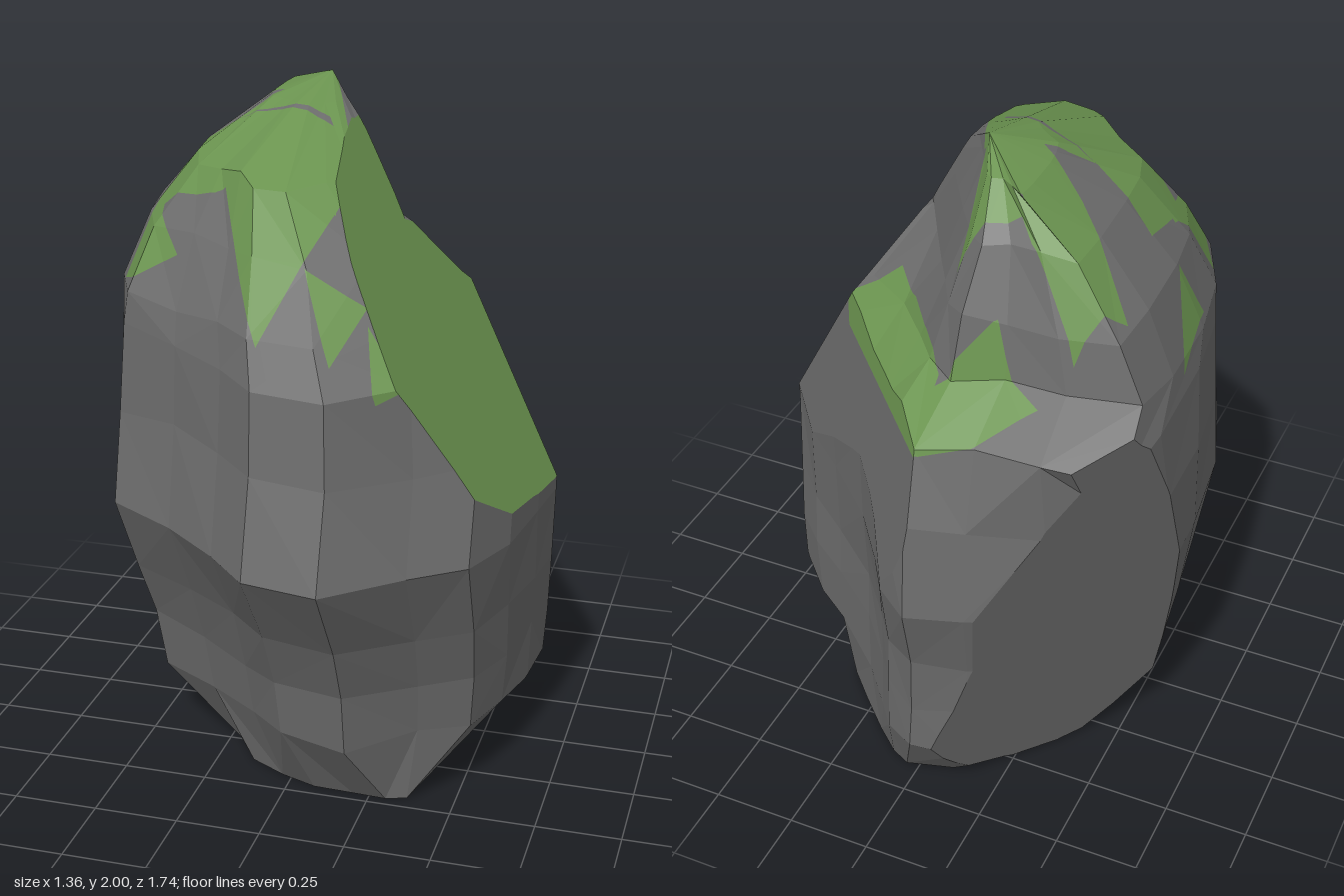
import * as THREE from 'three';

// Plan outline of the boulder at its widest, as x, z pairs, counterclockwise from above
const outline = [
  [0.68, -0.06], [0.55, -0.22], [0.4, -0.35], [0.22, -0.52], [0.1, -0.68], [0.03, -0.79],
  [-0.08, -0.87], [-0.24, -0.82], [-0.44, -0.74], [-0.66, -0.58], [-0.68, -0.42],
  [-0.67, -0.15], [-0.63, 0.14], [-0.54, 0.4], [-0.33, 0.54], [-0.15, 0.69],
  [-0.02, 0.83], [0.2, 0.87], [0.4, 0.69], [0.55, 0.58], [0.62, 0.38], [0.66, 0.13],
];

// Outline of the flat underside, matching point for point
const footprint = [
  [0.368, -0.05], [0.368, -0.2], [0.365, -0.36], [0.28, -0.45], [0.18, -0.55], [0.1, -0.62],
  [0.04, -0.65], [-0.1, -0.61], [-0.22, -0.5], [-0.34, -0.37], [-0.38, -0.3],
  [-0.38, -0.1], [-0.29, 0.12], [-0.22, 0.24], [-0.14, 0.36], [-0.03, 0.42],
  [0.08, 0.46], [0.2, 0.465], [0.3, 0.47], [0.36, 0.45], [0.368, 0.3], [0.368, 0.1],
];

// Cross-section extents above the base: y, min x, max x, min z, max z
const levels = [
  [0.22, -0.59, 0.65, -0.79, 0.61],
  [0.4, -0.62, 0.665, -0.79, 0.64],
  [0.58, -0.65, 0.68, -0.8, 0.72],
  [0.82, -0.685, 0.69, -0.87, 0.87],
  [1.1, -0.68, 0.69, -0.84, 0.79],
  [1.34, -0.66, 0.66, -0.77, 0.755],
  [1.45, -0.635, 0.57, -0.59, 0.68],
  [1.62, -0.56, 0.44, -0.55, 0.54],
  [1.8, -0.41, 0.2, -0.47, 0.39],
  [1.94, -0.23, 0.02, -0.36, -0.02],
];
const apex = new THREE.Vector3(-0.06, 2, -0.24);
const core = new THREE.Vector3(0, 0.8, 0);

// Steep back right wall above the ledge, for the top four levels: normal x, normal z, offset
const wall = [
  [0.68, -0.73, 0.375], [0.865, -0.5, 0.2], [0.865, -0.5, 0.145], [0.865, -0.5, 0.085],
];

// Broad upper shoulder at the back left: outline index to depth factor
const shoulder = { 8: 1.12, 9: 1.35, 10: 1.25 };

// Flat broken faces: outward normal, offset, mossy or not
const cuts = [
  [[1.65, 1, 0.1], 1.98, true],
  [[0.65, -0.76, 0], 0.24, false],
  [[-0.78, -0.25, -0.62], 0.5, false],
  [[0.739, 0.2, -0.674], 0.72, false],
];

// Convex moss patches: as x, z corners seen from above
const topMoss = [
  [[-0.36, -0.6], [-0.22, -0.72], [-0.07, -0.77], [-0.06, -0.6], [-0.21, -0.52]],
  [[-0.3, -0.38], [-0.06, -0.45], [-0.06, -0.25]],
  [[-0.07, -0.77], [0.04, -0.68], [0.27, -0.46], [0.39, -0.24], [0.22, -0.22], [-0.06, -0.57]],
  [[-0.43, -0.53], [-0.27, -0.44], [-0.05, -0.25], [-0.04, 0], [-0.33, -0.25], [-0.57, -0.4]],
  [[-0.48, -0.13], [-0.3, -0.07], [0, 0], [0.09, 0.14], [0.12, 0.37], [-0.26, 0.27], [-0.48, 0.15]],
  [[-0.3, -0.07], [-0.05, -0.25], [0, 0]],
  [[-0.05, -0.25], [0.06, 0.02], [0.09, 0.16], [0, 0]],
  [[-0.64, -0.25], [-0.55, -0.08], [-0.61, -0.02]],
];
// and as x, y corners seen from the front
const frontMoss = [
  [[-0.26, 1.82], [-0.02, 1.43], [0.15, 1.8]],
  [[-0.48, 1.7], [-0.56, 1.45], [-0.35, 1.57]],
  [[0.08, 1.62], [0.19, 1.4], [0.25, 1.52]],
  [[0.26, 1.48], [0.31, 1.3], [0.38, 1.33]],
];

const hash = (i, j) => {
  const s = Math.sin(i * 127.1 + j * 311.7) * 43758.5453;
  return s - Math.floor(s);
};

function makeRing([y, x0, x1, z0, z1], row) {
  return outline.map(([x, z], i) => {
    const k = 1 - 0.012 * hash(row, i);
    const p = new THREE.Vector3(
      (x0 + x1) / 2 + (x / 0.68) * k * (x1 - x0) / 2,
      y + (row < 9 && row !== 3 ? (hash(i, row + 20) - 0.5) * 0.035 : 0),
      (z0 + z1) / 2 + (z / 0.87) * k * (z1 - z0) / 2,
    );
    if (row > 4) p.z *= shoulder[i] ?? 1;
    if (row > 5) {
      const [nx, nz, offset] = wall[row - 6];
      const d = Math.max(0, nx * p.x + nz * p.z - offset);
      p.x -= nx * d;
      p.z -= nz * d;
    }
    return p;
  });
}

// Split one polygon where height changes sign
function split(pts, height) {
  const inner = [], outer = [];
  pts.forEach((a, i) => {
    const b = pts[(i + 1) % pts.length];
    const da = height(a), db = height(b);
    (da <= 0 ? inner : outer).push(a);
    if ((da <= 0) !== (db <= 0)) {
      const p = a.clone().lerp(b, da / (da - db));
      inner.push(p);
      outer.push(p);
    }
  });
  return [inner, outer];
}

// Press everything beyond a plane flat onto it, towards the core
function flatten(polys, [dir, offset, mossy]) {
  const n = new THREE.Vector3(...dir);
  const height = (p) => n.dot(p) - offset;
  const press = (p) => core.clone().lerp(p, height(core) / (height(core) - height(p)));
  return polys.flatMap(({ pts, moss }) => {
    const [inner, outer] = split(pts, height);
    return [{ pts: inner, moss }, { pts: outer.map(press), moss: mossy }];
  }).filter((p) => p.pts.length > 2);
}

// Cut a convex patch out of the surface and turn it to moss
function paint(polys, corners, axis, depthAxis, depth) {
  const mx = corners.reduce((s, c) => s + c[0], 0) / corners.length;
  const my = corners.reduce((s, c) => s + c[1], 0) / corners.length;
  const sides = corners.map(([ax, ay], i) => {
    const [bx, by] = corners[(i + 1) % corners.length];
    const side = (x, y) => (by - ay) * (x - ax) - (bx - ax) * (y - ay);
    const sign = -Math.sign(side(mx, my));
    return (p) => sign * side(p.x, p[axis]);
  });
  sides.push((p) => depth - p[depthAxis]);
  return polys.flatMap((poly) => {
    const rest = [];
    let piece = poly.pts;
    for (const side of sides) {
      const [inner, outer] = split(piece, side);
      if (outer.length > 2) rest.push({ pts: outer, moss: poly.moss });
      if (inner.length < 3) return [poly];
      piece = inner;
    }
    return [...rest, { pts: piece, moss: true }];
  });
}

function toMesh(polys, material, name) {
  const pos = [];
  for (const { pts } of polys) {
    for (let i = 1; i < pts.length - 1; i++) {
      for (const p of [pts[0], pts[i], pts[i + 1]]) pos.push(p.x, p.y, p.z);
    }
  }
  const geo = new THREE.BufferGeometry();
  geo.setAttribute('position', new THREE.Float32BufferAttribute(pos, 3));
  geo.computeVertexNormals();
  const mesh = new THREE.Mesh(geo, material);
  mesh.name = name;
  return mesh;
}

export function createModel() {
  const stone = new THREE.MeshStandardMaterial({ color: 0x6c6c6c });
  stone.name = 'grey stone';
  const moss = new THREE.MeshStandardMaterial({ color: 0x6b9450 });
  moss.name = 'green moss';

  // Loft the rings into triangles, varying the diagonals, then close the peak and base
  const rings = [footprint.map(([x, z]) => new THREE.Vector3(x, 0, z)), ...levels.map(makeRing)];
  const base = new THREE.Vector3(0, 0, -0.1);
  let polys = [];
  const add = (...pts) => polys.push({ pts, moss: false });
  outline.forEach((_, i) => {
    const j = (i + 1) % outline.length;
    for (let r = 0; r < levels.length; r++) {
      const a = rings[r][i], b = rings[r][j], c = rings[r + 1][j], d = rings[r + 1][i];
      if (hash(r + 5, i) > 0.5) { add(a, b, c); add(a, c, d); }
      else { add(a, b, d); add(b, c, d); }
    }
    add(rings[levels.length][i], rings[levels.length][j], apex);
    add(rings[0][j], rings[0][i], base);
  });
  for (const cut of cuts) polys = flatten(polys, cut);
  for (const patch of topMoss) polys = paint(polys, patch, 'z', 'y', 1.3);
  for (const patch of frontMoss) polys = paint(polys, patch, 'y', 'z', 0.05);

  const group = new THREE.Group();
  group.name = 'mossyBoulder';
  group.add(toMesh(polys.filter((p) => !p.moss), stone, 'stoneBody'));
  group.add(toMesh(polys.filter((p) => p.moss), moss, 'mossPatches'));
  return group;
}
